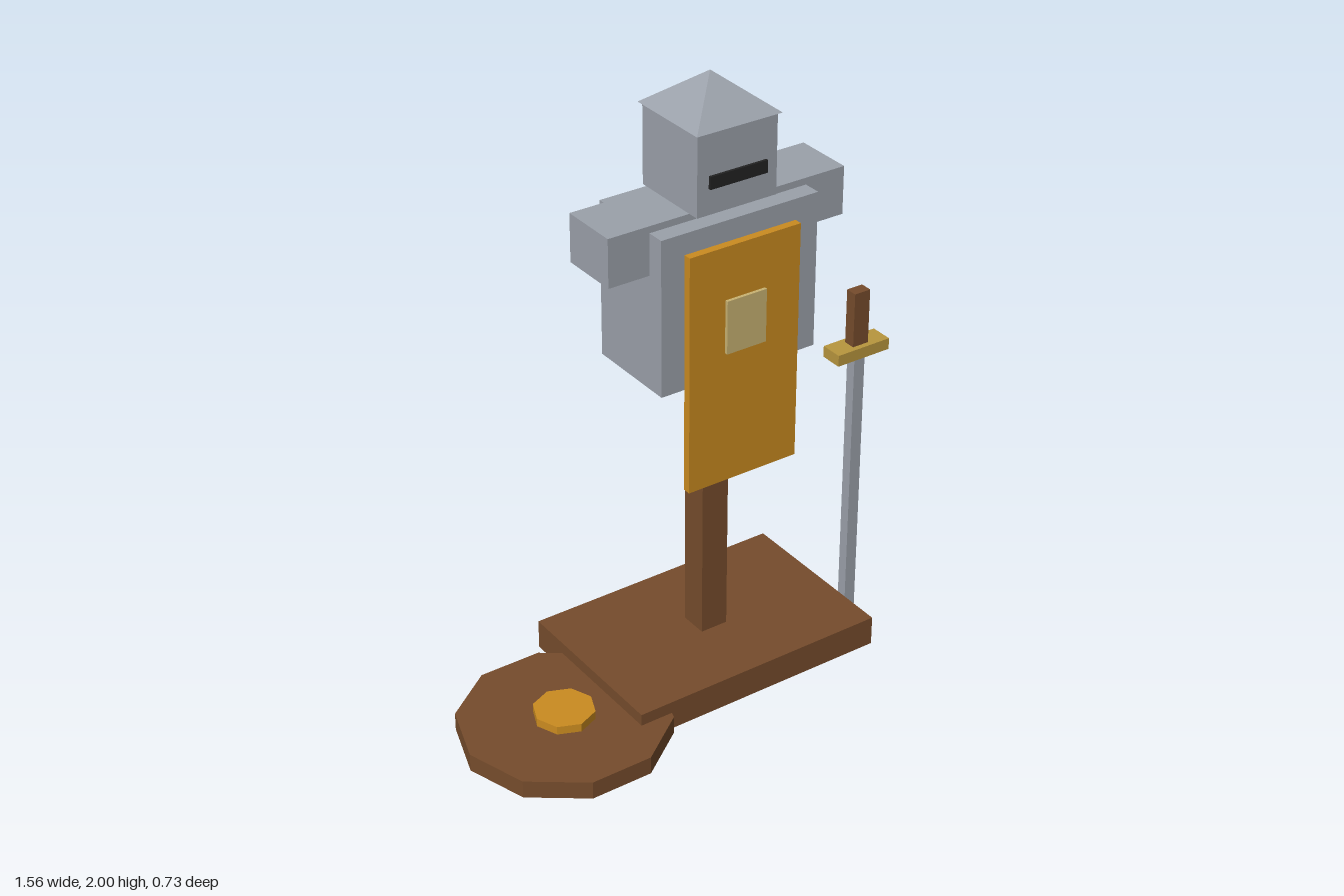
import * as THREE from 'three';

const mat = (name, color, extra = {}) => {
  const m = new THREE.MeshStandardMaterial({ color, flatShading: true, ...extra });
  m.name = name;
  return m;
};

export function createModel() {
  const model = new THREE.Group();
  model.name = 'armourStand';

  const steel = mat('steel', 0x9ba1aa);
  const wood = mat('wood', 0x764c2c);
  const shieldWood = mat('shieldWood', 0x764c2c, { side: THREE.DoubleSide });
  const cloth = mat('ochreCloth', 0xca8b20);
  const brass = mat('brass', 0xb8963e);
  const pale = mat('paleGold', 0xc8b272);
  const black = mat('black', 0x222222);

  const add = (parent, name, geometry, material, x, y, z) => {
    const mesh = new THREE.Mesh(geometry, material);
    mesh.name = name;
    mesh.position.set(x, y, z);
    parent.add(mesh);
    return mesh;
  };
  // Box given by its centre in x and z, and its bottom and top
  const box = (parent, name, material, x, z, w, d, y0, y1) =>
    add(parent, name, new THREE.BoxGeometry(w, y1 - y0, d), material, x, (y0 + y1) / 2, z);
  const group = (name, x = 0, z = 0) => {
    const g = new THREE.Group();
    g.name = name;
    g.position.set(x, 0, z);
    model.add(g);
    return g;
  };

  // Stand
  const stand = group('stand', 0.165, -0.073);
  box(stand, 'base', wood, 0, 0, 0.89, 0.59, 0, 0.1);
  box(stand, 'post', wood, 0, 0, 0.095, 0.095, 0.1, 1.11);

  // Armour
  const armour = group('armour', 0.165, -0.07);
  box(armour, 'torso', steel, 0, 0, 0.552, 0.315, 1.095, 1.605);
  box(armour, 'shoulders', steel, 0, 0, 0.832, 0.198, 1.47, 1.627);
  box(armour, 'helmet', steel, 0, 0, 0.278, 0.274, 1.627, 1.885);
  add(armour, 'helmetRoof',
    new THREE.ConeGeometry(0.148 * Math.SQRT2, 0.115, 4, 1, false, Math.PI / 4),
    steel, 0, 1.9425, 0);
  box(armour, 'visorSlit', black, 0, 0.1425, 0.2, 0.009, 1.71, 1.75);
  box(armour, 'tabard', cloth, 0, 0.1705, 0.392, 0.026, 0.75, 1.537);
  box(armour, 'emblem', pale, 0, 0.189, 0.14, 0.011, 1.19, 1.365);

  // Sword standing on its point
  const sword = group('sword', 0.682, -0.003);
  box(sword, 'blade', steel, 0, 0, 0.04, 0.036, 0, 0.95);
  box(sword, 'crossguard', brass, 0, 0, 0.197, 0.076, 0.947, 0.985);
  box(sword, 'grip', wood, 0, 0, 0.058, 0.04, 0.985, 1.17);

  // Ten-sided shield lying on the ground, hollow underneath
  const shield = group('shield', -0.446, 0.046);
  add(shield, 'shieldRim',
    new THREE.CylinderGeometry(0.335, 0.335, 0.06, 10, 1, true, Math.PI / 2),
    shieldWood, 0, 0.03, 0);
  const face = add(shield, 'shieldFace', new THREE.CircleGeometry(0.335, 10), shieldWood, 0, 0.06, 0);
  face.rotation.x = -Math.PI / 2;
  add(shield, 'shieldBoss', new THREE.CylinderGeometry(0.098, 0.098, 0.028, 8), cloth, 0, 0.076, 0);

  return model;
}
